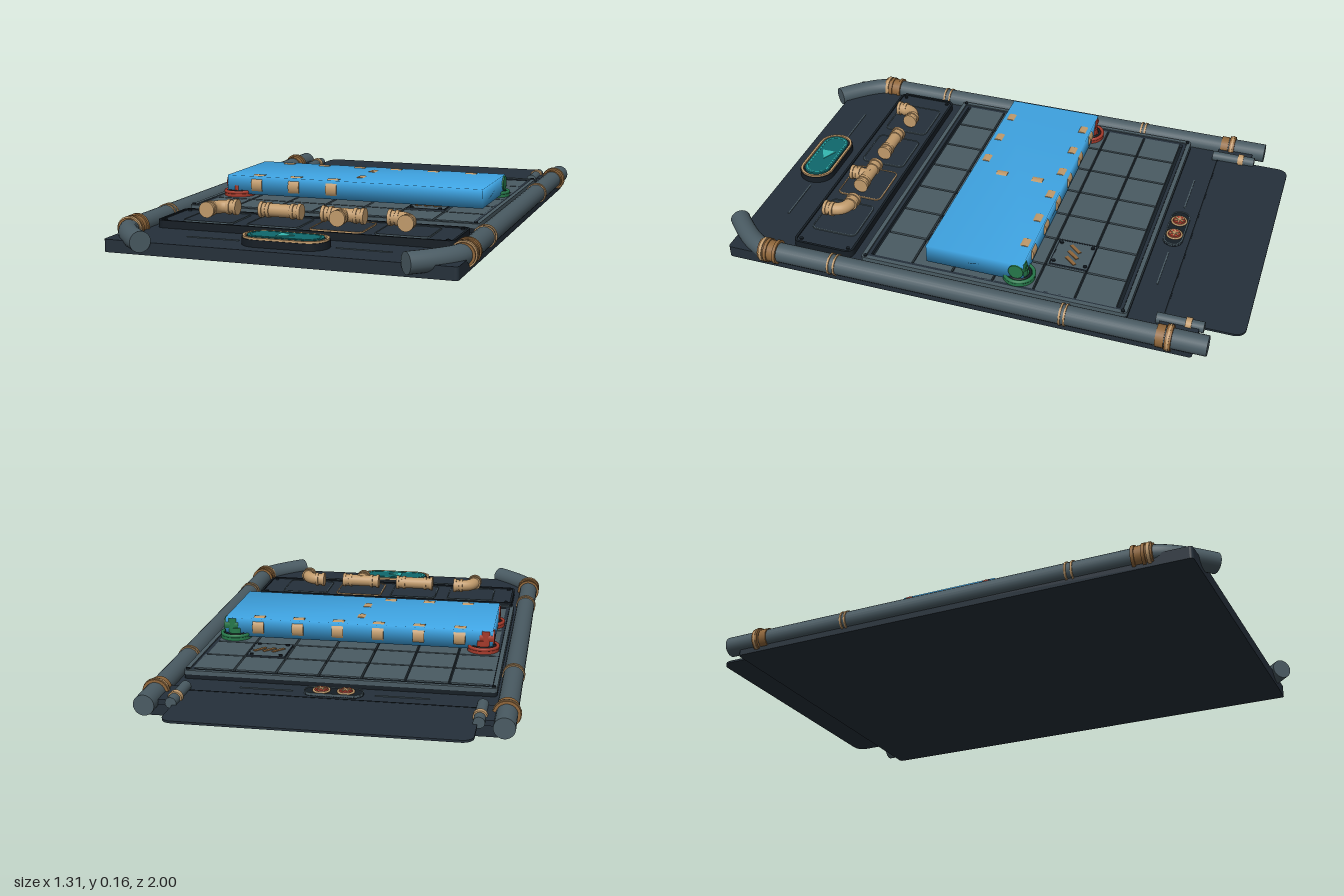
import * as THREE from 'three';
import { mergeVertices } from 'three/addons/utils/BufferGeometryUtils.js';

const mat = (name, color) => Object.assign(new THREE.MeshStandardMaterial({ color }), { name });

export function createModel() {
  const M = {
    navy: mat('navy', 0x25303a), ink: mat('ink', 0x161e25), slate: mat('slate', 0x4a5b63),
    brass: mat('brass', 0xc09a6b), bronze: mat('bronze', 0x8f663a), water: mat('water', 0x3fa5e4),
    red: mat('red', 0xa63a2b), green: mat('green', 0x26784a), teal: mat('teal', 0x0f686c),
    glow: mat('glow', 0x35b8b2),
  };
  const root = new THREE.Group();
  const V = (x, y, z) => new THREE.Vector3(x, y, z);

  function add(name, geo, m, x = 0, y = 0, z = 0, parent = root) {
    const mesh = new THREE.Mesh(geo, m);
    mesh.name = name;
    mesh.position.set(x, y, z);
    parent.add(mesh);
    return mesh;
  }
  function outline(p, w, h, r) {
    const a = w / 2, b = h / 2;
    p.moveTo(-a + r, -b);
    p.lineTo(a - r, -b); p.absarc(a - r, -b + r, r, -Math.PI / 2, 0);
    p.lineTo(a, b - r); p.absarc(a - r, b - r, r, 0, Math.PI / 2);
    p.lineTo(-a + r, b); p.absarc(-a + r, b - r, r, Math.PI / 2, Math.PI);
    p.lineTo(-a, -b + r); p.absarc(-a + r, -b + r, r, Math.PI, Math.PI * 1.5);
    return p;
  }
  // Flat rounded slab lying on height y; a rim width turns it into a frame
  function plate(name, m, x, z, w, d, r, y, h, rim = 0) {
    const s = outline(new THREE.Shape(), w, d, r);
    if (rim) s.holes.push(outline(new THREE.Path(), w - 2 * rim, d - 2 * rim, Math.max(r - rim, 0.002)));
    const g = new THREE.ExtrudeGeometry(s, { depth: h, bevelEnabled: false, curveSegments: 8 });
    return add(name, g.rotateX(-Math.PI / 2), m, x, y, z);
  }
  const box = (name, m, x, y, z, w, h, d) => add(name, new THREE.BoxGeometry(w, h, d), m, x, y, z);
  // Cylinder along a chosen axis
  function rod(name, m, x, y, z, r, len, axis = 'y', r2 = r) {
    const g = new THREE.CylinderGeometry(r2, r, len, 24);
    if (axis === 'x') g.rotateZ(Math.PI / 2);
    if (axis === 'z') g.rotateX(Math.PI / 2);
    return add(name, g, m, x, y, z);
  }
  const bolt = (x, y, z) => rod('bolt', M.ink, x, y, z, 0.007, 0.006);

  // Base slab and rear panel
  plate('base', M.navy, 0, 0.0475, 1.25, 1.775, 0.012, 0, 0.045);
  plate('rearPanel', M.navy, 0, -0.855, 1.03, 0.29, 0.04, 0.041, 0.008);
  box('rearSeam', M.ink, 0, 0.048, -0.712, 1.03, 0.004, 0.005);

  // Side pipes with collars, rings and bent front ends
  for (const s of [-1, 1]) {
    const x = s * 0.605, y = 0.053;
    rod('sidePipe', M.slate, x, y, -0.06, 0.037, 1.66, 'z');
    const bend = new THREE.QuadraticBezierCurve3(V(x, y, 0.77), V(x, y, 0.84), V(s * 0.465, y, 0.968));
    add('pipeBend', new THREE.TubeGeometry(bend, 14, 0.037, 24), M.slate);
    const cap = add('bendCap', new THREE.CircleGeometry(0.037, 24), M.slate, s * 0.465, y, 0.968);
    cap.lookAt(cap.position.clone().add(bend.getTangent(1)));
    for (const z of [-0.385, -0.368, 0.495, 0.518]) rod('thinRing', M.brass, x, y, z, 0.041, 0.007, 'z');
    rod('rearCollar', M.bronze, x, y, -0.755, 0.047, 0.022, 'z');
    rod('rearSleeve', M.bronze, x, y, -0.725, 0.041, 0.03, 'z');
    rod('rearRing', M.brass, x, y, -0.755, 0.049, 0.007, 'z');
    rod('frontSleeve', M.bronze, x, y, 0.768, 0.041, 0.07, 'z');
    for (const z of [0.735, 0.772, 0.79]) rod('frontRing', z > 0.78 ? M.brass : M.bronze, x, y, z, 0.046, 0.012, 'z');
    // Hinge stubs beside the rear panel
    rod('hinge', M.slate, s * 0.52, 0.055, -0.775, 0.02, 0.17, 'z');
    rod('hingeRing', M.brass, s * 0.52, 0.055, -0.805, 0.025, 0.022, 'z');
    box('hingeFoot', M.navy, s * 0.55, 0.05, -0.775, 0.05, 0.02, 0.14);
    // Trim lines beside the lamps and the button
    box('trimLine', M.slate, s * 0.24, 0.046, -0.65, 0.19, 0.004, 0.005);
    box('trimLine', M.slate, s * 0.273, 0.046, 0.81, 0.195, 0.004, 0.005);
  }

  // Board: frame, dark bed and 7 x 6 tiles
  plate('boardBed', M.ink, 0, -0.085, 1.12, 1.01, 0.015, 0.045, 0.015);
  plate('boardFrame', M.slate, 0, -0.085, 1.12, 1.01, 0.015, 0.06, 0.016, 0.016);
  plate('boardInnerFrame', M.navy, 0, -0.085, 1.085, 0.975, 0.008, 0.06, 0.013, 0.013);
  const P = 0.155, X0 = -0.468, Z0 = -0.4725;
  for (let c = 0; c < 7; c++) for (let r = 0; r < 6; r++)
    box('tile', M.slate, X0 + c * P, 0.066, Z0 + r * P, 0.147, 0.014, 0.147);
  for (const sx of [-1, 1]) for (const z of [-0.575, 0.405]) bolt(sx * 0.548, 0.078, z);

  // Blocked tiles with bolts and slanted stripes
  for (const z of [-0.325, 0.147]) {
    plate('blockedTile', M.slate, 0.307, z, 0.143, 0.143, 0.006, 0.073, 0.005);
    plate('blockedRim', M.navy, 0.307, z, 0.146, 0.146, 0.006, 0.073, 0.006, 0.004);
    for (const a of [-1, 1]) for (const b of [-1, 1]) bolt(0.307 + a * 0.055, 0.08, z + b * 0.06);
    for (let i = -1; i <= 1; i++) {
      const stripe = box('stripe', M.bronze, 0.31 + i * 0.035, 0.079, z, 0.013, 0.004, 0.055);
      stripe.rotation.y = -0.7;
    }
  }

  // Water volume with soft shading
  let wg = new THREE.BoxGeometry(1.03, 0.072, 0.37);
  wg.deleteAttribute('normal');
  wg.deleteAttribute('uv');
  wg = mergeVertices(wg);
  wg.computeVertexNormals();
  add('water', wg, M.water, 0, 0.119, -0.01);

  // Laid pipes whose flanges break through the water
  const backZ = -0.165, frontZ = 0.145, py = 0.12;
  rod('backPipe', M.brass, 0, py, backZ, 0.026, 0.9, 'x');
  rod('frontPipe', M.brass, -0.22, py, frontZ, 0.026, 0.46, 'x');
  rod('crossPipe', M.brass, 0, py, -0.01, 0.026, 0.31, 'z');
  for (let i = 0; i < 6; i++) {
    const x = -0.39 + i * P;
    rod('flange', M.brass, x, py, backZ, 0.0385, 0.044, 'x');
    if (i < 3) rod('flange', M.brass, x, py, frontZ, 0.0385, 0.044, 'x');
  }
  for (const z of [-0.09, 0.055]) rod('flange', M.brass, 0, py, z, 0.0385, 0.044, 'z');

  // Inlet and outlet valves
  const ring = (R, t) => new THREE.TorusGeometry(R, t, 8, 32).rotateX(Math.PI / 2);
  for (const [x, z, m, s] of [[-0.478, -0.17, M.red, 1], [-0.478, 0.143, M.red, 1], [0.478, -0.17, M.green, -1]]) {
    rod('valveBase', m, x, 0.082, z, 0.06, 0.018);
    add('valveRing', ring(0.055, 0.007), m, x, 0.09, z);
    add('valveInnerRing', ring(0.042, 0.005), M.ink, x, 0.092, z);
    rod('valveNeck', m, x, 0.1, z, 0.033, 0.03);
    rod('valveBody', m, x - s * 0.015, 0.125, z, 0.028, 0.055, 'x');
    rod('valveCap', m, x - s * 0.01, 0.125, z, 0.029, 0.055);
    rod('valveStud', m, x + s * 0.05, 0.105, z, 0.01, 0.04);
  }

  // Lamp strip
  plate('lampPlate', M.ink, 0, -0.65, 0.21, 0.074, 0.036, 0.045, 0.008);
  plate('lampRim', M.slate, 0, -0.65, 0.21, 0.074, 0.036, 0.045, 0.011, 0.004);
  for (const x of [-0.043, 0.043]) {
    rod('lamp', M.red, x, 0.056, -0.65, 0.027, 0.012, 'y', 0.022);
    add('lampRing', ring(0.028, 0.004), M.brass, x, 0.056, -0.65);
    for (let i = 0; i < 3; i++)
      box('lampSpoke', M.brass, x, 0.063, -0.65, 0.04, 0.003, 0.005).rotation.y = i * Math.PI / 3;
  }

  // Parts tray with four slots
  plate('tray', M.navy, 0, 0.583, 1.09, 0.235, 0.025, 0.045, 0.023);
  plate('trayRim', M.ink, 0, 0.583, 1.095, 0.24, 0.027, 0.045, 0.028, 0.009);
  for (const a of [-1, 1]) for (const b of [-1, 1]) bolt(a * 0.522, 0.07, 0.583 + b * 0.095);
  const slots = [-0.365, -0.118, 0.118, 0.355];
  slots.forEach((x, i) => {
    plate('slot', M.navy, x, 0.581, 0.19, 0.175, 0.02, 0.068, 0.003);
    plate('slotRim', i === 2 ? M.brass : M.slate, x, 0.581, 0.196, 0.181, 0.022, 0.068, 0.005, 0.004);
  });

  // Loose pipe pieces in the slots
  const y = 0.11;
  const ends = (x, z, axis, dir) => {
    for (const [o, r] of [[0, 0.028], [0.015, 0.025], [0.027, 0.029]])
      rod('pieceFlange', M.brass, x + (axis === 'x' ? o * dir : 0), y, z + (axis === 'z' ? o * dir : 0), r, 0.012, axis);
  };
  for (const [x, s] of [[-0.375, 1], [0.365, -1]]) {
    const c = new THREE.CubicBezierCurve3(V(x, y, 0.64), V(x, y, 0.585), V(x + s * 0.02, y, 0.567), V(x + s * 0.075, y, 0.567));
    add('elbowPiece', new THREE.TubeGeometry(c, 12, 0.024, 20), M.brass);
    ends(x, 0.618, 'z', 1);
    ends(x + s * 0.052, 0.567, 'x', s);
  }
  for (const x of [slots[1], slots[2]]) {
    rod('straightPiece', M.brass, x, y, 0.577, 0.024, 0.13, 'x');
    for (const s of [-1, 1]) ends(x + s * 0.046, 0.577, 'x', s);
  }
  rod('teeStem', M.brass, slots[2], y, 0.605, 0.024, 0.07, 'z');
  ends(slots[2], 0.615, 'z', 1);

  // Play button
  plate('buttonBase', M.ink, 0, 0.818, 0.31, 0.14, 0.069, 0.045, 0.025);
  plate('buttonRim', M.brass, 0, 0.818, 0.304, 0.134, 0.066, 0.07, 0.007, 0.009);
  plate('buttonFace', M.teal, 0, 0.818, 0.27, 0.104, 0.05, 0.07, 0.008);
  plate('buttonLine', M.glow, 0, 0.818, 0.25, 0.088, 0.043, 0.078, 0.001, 0.003);
  const tri = new THREE.Shape([[-0.025, -0.028], [0.032, 0], [-0.025, 0.028]].map(p => new THREE.Vector2(...p)));
  add('playArrow', new THREE.ExtrudeGeometry(tri, { depth: 0.003, bevelEnabled: false }).rotateX(-Math.PI / 2),
    M.glow, 0, 0.078, 0.818);

  return root;
}
